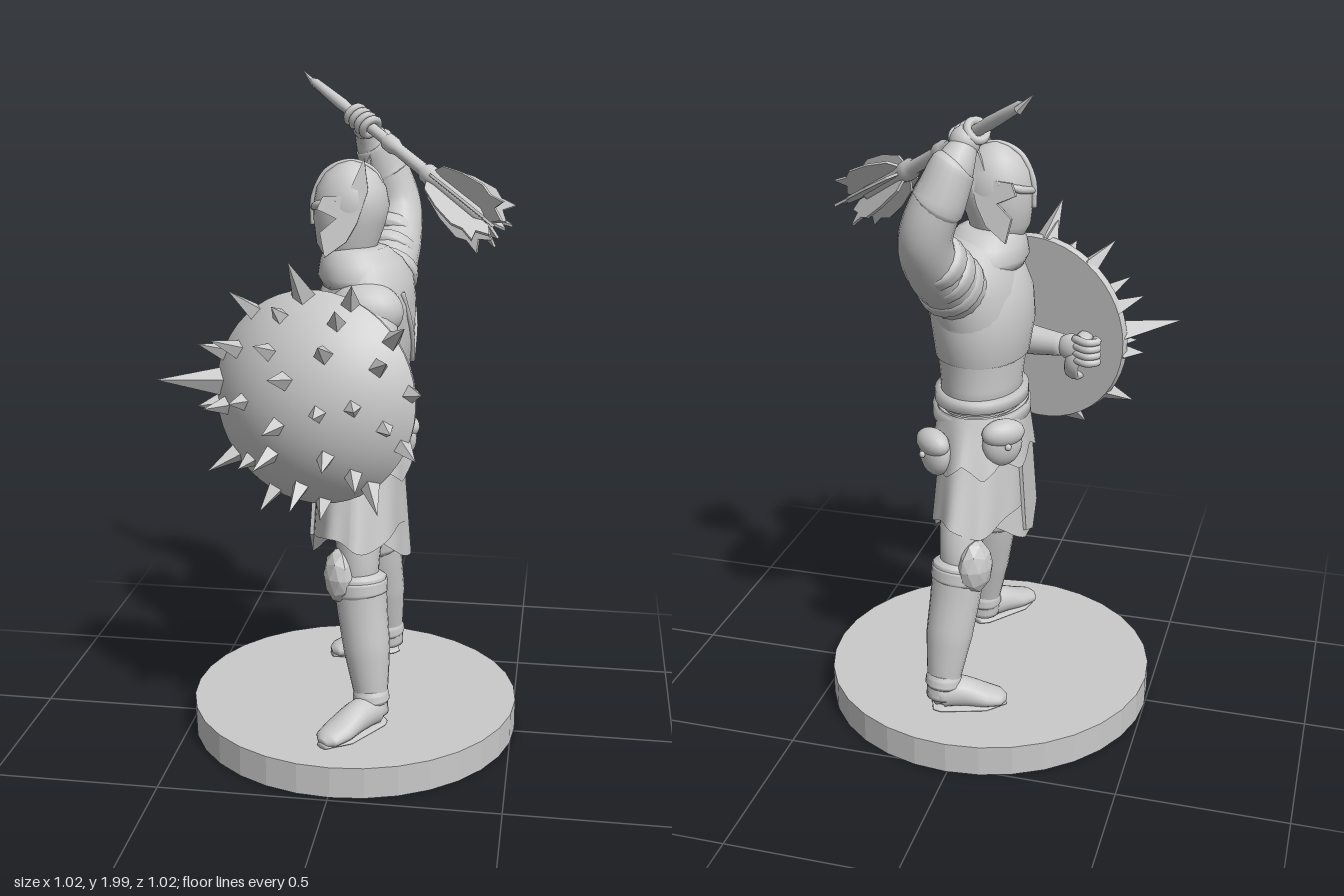
import * as THREE from 'three';

const V = (a) => new THREE.Vector3(...a);

export function createModel() {
  const model = new THREE.Group();
  const grey = new THREE.MeshStandardMaterial({ color: 0xcacaca, side: THREE.DoubleSide });
  grey.name = 'stone grey';

  const add = (name, geometry, pos = [0, 0, 0], parent = model) => {
    const m = new THREE.Mesh(geometry, grey);
    m.name = name;
    m.position.set(...pos);
    parent.add(m);
    return m;
  };
  const flat = (g) => { const f = g.index ? g.toNonIndexed() : g; f.computeVertexNormals(); return f; };

  // Closed skin over rings { c: centre, n, b: scaled axes }
  const skin = (rings, seg = 24) => {
    const p = [], idx = [];
    for (const { c, n, b } of rings) for (let j = 0; j < seg; j++) {
      const a = (j / seg) * Math.PI * 2;
      const v = c.clone().addScaledVector(n, Math.cos(a)).addScaledVector(b, Math.sin(a));
      p.push(v.x, v.y, v.z);
    }
    const last = (rings.length - 1) * seg, c0 = rings.length * seg;
    p.push(...rings[0].c.toArray(), ...rings[rings.length - 1].c.toArray());
    for (let j = 0; j < seg; j++) {
      const k = (j + 1) % seg;
      for (let i = 0; i < last; i += seg) idx.push(i + j, i + k, i + seg + j, i + k, i + seg + k, i + seg + j);
      idx.push(c0, k, j, c0 + 1, last + j, last + k);
    }
    const g = new THREE.BufferGeometry();
    g.setAttribute('position', new THREE.Float32BufferAttribute(p, 3));
    g.setIndex(idx);
    g.computeVertexNormals();
    return g;
  };
  // Upright body part from rows [x, y, z, radiusX, radiusZ]
  const body = (name, rows) => add(name, skin(rows.map(([x, y, z, rx, rz]) =>
    ({ c: V([x, y, z]), n: V([0, 0, rz]), b: V([rx, 0, 0]) })), 36));
  // Limb along a curve through rows [x, y, z, width, height]
  const limb = (name, rows, up = [1, 0, 0], steps = 6) => {
    const curve = new THREE.CatmullRomCurve3(rows.map((r) => V(r.slice(0, 3))));
    const rings = [], total = (rows.length - 1) * steps;
    for (let i = 0; i <= total; i++) {
      const k = Math.min(Math.floor(i / steps), rows.length - 2), f = i / steps - k;
      const size = (q) => THREE.MathUtils.lerp(rows[k][q] ?? rows[k][3], rows[k + 1][q] ?? rows[k + 1][3], f);
      const t = curve.getTangent(i / total), n = V(up).cross(t).normalize();
      const b = t.clone().cross(n).multiplyScalar(size(4));
      rings.push({ c: curve.getPoint(i / total), n: n.multiplyScalar(size(3)), b });
    }
    return add(name, skin(rings, 18));
  };
  const ball = (name, pos, scale, parent = model) => {
    const m = add(name, new THREE.SphereGeometry(1, 20, 14), pos, parent);
    m.scale.set(...scale);
    return m;
  };
  // Thin plate cut from an outline
  const plate = (points, depth) => new THREE.ExtrudeGeometry(
    new THREE.Shape(points.map((q) => new THREE.Vector2(...q))), { depth, bevelEnabled: false });

  // Round base
  add('base', flat(new THREE.CylinderGeometry(0.505, 0.505, 0.095, 32)), [0.005, 0.0475, -0.021]);

  // Legs: ankle, knee, heel, toe for each side
  const legs = [
    { side: 'left', s: 1, ankle: [0.085, 0.19], knee: [0.04, 0.145], hip: 0.08, heel: [0.11, 0.17], toe: [-0.035, 0.375] },
    { side: 'right', s: -1, ankle: [0.07, -0.325], knee: [0.035, -0.25], hip: -0.12, heel: [0.1, -0.345], toe: [-0.11, -0.265] },
  ];
  for (const { side, s, ankle: a, knee: k, hip, heel: h, toe: t } of legs) {
    const mix = (f, p = a, q = k) => [p[0] + (q[0] - p[0]) * f, p[1] + (q[1] - p[1]) * f];
    const at = (f, y, ...r) => { const m = mix(f); return [m[0], y, m[1], ...r]; };
    limb(side + 'Thigh', [at(1, 0.5, 0.055), at(1, 0.6, 0.062), [0.03, 0.85, hip, 0.09]]);
    limb(side + 'Boot', [at(-0.05, 0.13, 0.05), at(0.05, 0.2, 0.048, 0.052), at(0.35, 0.33, 0.063, 0.07),
      at(0.7, 0.45, 0.068, 0.076), at(0.92, 0.55, 0.073, 0.08), at(0.95, 0.565, 0.06)]);
    limb(side + 'BootCuff', [at(0.82, 0.49, 0.068), at(0.86, 0.505, 0.077, 0.083), at(0.93, 0.54, 0.078, 0.084), at(0.95, 0.55, 0.06)]);
    limb(side + 'AnkleBand', [at(-0.02, 0.165, 0.05), at(0, 0.175, 0.056), at(0.03, 0.195, 0.054), at(0.05, 0.21, 0.048)]);
    const f = (q, y, ...r) => { const m = mix(q, h, t); return [m[0], y, m[1], ...r]; };
    limb(side + 'Foot', [f(0, 0.13, 0.025, 0.03), f(0.12, 0.145, 0.045, 0.05), f(0.4, 0.145, 0.047, 0.047),
      f(0.72, 0.126, 0.052, 0.032), f(0.92, 0.117, 0.042, 0.022), f(1, 0.112, 0.016, 0.012)], [0, 1, 0]);
    limb(side + 'Sole', [f(0, 0.103, 0.03, 0.009), f(0.1, 0.103, 0.045, 0.009), f(0.7, 0.103, 0.055, 0.009), f(1, 0.103, 0.02, 0.009)], [0, 1, 0]);
    // Pointed knee guard facing forward
    const cap = add(side + 'KneeGuard', flat(new THREE.OctahedronGeometry(1, 2)), [k[0] - 0.055, 0.56, k[1] + s * 0.03]);
    cap.scale.set(0.045, 0.085, 0.06);
    cap.rotation.y = s * 0.5;
  }

  // Skirt layers with shaped hems
  const skirt = (name, yTop, yBot, [tx, tz], [bx, bz], hem) => {
    const g = new THREE.CylinderGeometry(1, 1, 1, 72, 8, true), p = g.attributes.position;
    for (let i = 0; i < p.count; i++) {
      const x = p.getX(i), z = p.getZ(i), f = 0.5 - p.getY(i), a = Math.atan2(z, x);
      const w = 1 + 0.03 * f * Math.cos(a * 9);
      p.setXYZ(i, 0.025 + x * w * (tx + (bx - tx) * f), yTop + (yBot + hem(a) - yTop) * f,
        -0.03 + z * w * (tz + (bz - tz) * f));
    }
    g.computeVertexNormals();
    add(name, g);
  };
  skirt('lowerSkirt', 1.0, 0.67, [0.12, 0.17], [0.138, 0.275], (a) => 0.02 * Math.sin(a * 4));
  skirt('underTunic', 0.9, 0.565, [0.125, 0.17], [0.148, 0.2], (a) => 0.13 * Math.sin(a) ** 2);
  skirt('hipArmour', 1.0, 0.82, [0.133, 0.18], [0.15, 0.235], (a) => 0.05 * Math.abs(((a * 8) / Math.PI % 2 + 2) % 2 - 1));
  // Tabard strip hanging at the front
  const tabard = add('frontTabard', plate([[-0.065, 0.3], [-0.085, -0.03], [-0.02, -0.1], [0.06, -0.07], [0.065, 0.3]], 0.012), [-0.122, 0.67, -0.03]);
  tabard.rotation.set(0, Math.PI / 2, -0.06, 'ZYX');

  // Torso, breastplate, belts and collar
  body('torso', [[0.03, 0.95, -0.02, 0.12, 0.17], [0.03, 1.07, -0.025, 0.12, 0.16], [0.03, 1.16, -0.015, 0.13, 0.175],
    [0.035, 1.27, -0.005, 0.142, 0.2], [0.045, 1.36, -0.01, 0.14, 0.215], [0.05, 1.43, -0.015, 0.125, 0.19],
    [0.045, 1.48, 0, 0.1, 0.145], [0.03, 1.52, 0.02, 0.07, 0.08]]);
  body('breastplate', [[0.03, 1.14, -0.015, 0.125, 0.165], [0.03, 1.15, -0.015, 0.137, 0.178], [0.03, 1.25, -0.01, 0.152, 0.195],
    [0.035, 1.34, -0.005, 0.15, 0.185], [0.045, 1.41, 0, 0.13, 0.165], [0.045, 1.42, 0, 0.11, 0.14]]);
  [[0.975, 0.145, 0.185, 0.024], [1.025, 0.138, 0.178, 0.022]].forEach(([y, rx, rz, h], i) => body('belt' + (i + 1), [
    [0.03, y - h, -0.025, rx - 0.02, rz - 0.02], [0.03, y - h * 0.7, -0.025, rx, rz],
    [0.03, y + h * 0.7, -0.025, rx, rz], [0.03, y + h, -0.025, rx - 0.02, rz - 0.02]]));
  body('collar', [[0.035, 1.41, 0.005, 0.12, 0.16], [0.03, 1.44, 0.005, 0.13, 0.165], [0.025, 1.48, 0.01, 0.118, 0.14],
    [0.015, 1.515, 0.015, 0.095, 0.105], [0.01, 1.525, 0.02, 0.07, 0.08]]);
  // V-shaped seam on the back
  for (const s of [1, -1]) limb('backSeam', [[0.177, 1.18, -0.01, 0.008], [0.178, 1.29, -0.005 + s * 0.055, 0.008],
    [0.158, 1.4, s * 0.1, 0.008]]);

  // Pouches on the belt
  for (const [x, y, z, turn] of [[0.12, 0.895, -0.215, 2.45], [-0.075, 0.935, -0.185, 3.8]]) {
    const pouch = new THREE.Group();
    pouch.name = 'pouch';
    pouch.position.set(x, y, z);
    pouch.rotation.y = turn;
    model.add(pouch);
    ball('pouchBag', [0, -0.01, 0], [0.062, 0.07, 0.04], pouch);
    ball('pouchFlap', [0, 0.025, 0.008], [0.066, 0.042, 0.04], pouch);
    ball('pouchButton', [0, -0.005, 0.046], [0.01, 0.01, 0.008], pouch);
  }

  // Helmet
  body('helmet', [[-0.005, 1.48, 0.022, 0.07, 0.07], [-0.012, 1.53, 0.022, 0.09, 0.085], [-0.005, 1.59, 0.022, 0.104, 0.096],
    [0, 1.64, 0.022, 0.11, 0.1], [0, 1.69, 0.022, 0.1, 0.09], [0, 1.73, 0.022, 0.075, 0.066], [0, 1.755, 0.022, 0.04, 0.035], [0, 1.765, 0.022, 0.008, 0.008]]);
  limb('helmetCrest', [[-0.113, 1.58, 0.022, 0.008], [-0.109, 1.66, 0.022, 0.01], [-0.07, 1.735, 0.022, 0.009],
    [0, 1.763, 0.022, 0.007], [0.07, 1.735, 0.022, 0.006], [0.106, 1.65, 0.022, 0.004]], [0, 0, 1]);
  for (const s of [1, -1]) {
    const wing = [[0.045, 0.18], [0.058, 0.09], [0.03, 0], [0.0, -0.055], [-0.06, -0.1], [-0.075, -0.03], [-0.03, 0.01], [-0.085, 0.035], [-0.07, 0.07], [0.0, 0.075]];
    const m = add('helmetWing', plate(wing, 0.014), [0, 1.6, 0.022 + s * 0.097 - 0.007]);
    m.rotation.set(-s * 0.18, s * 0.08, 0);
    limb('browRidge', [[-0.11, 1.63, 0.022, 0.01], [-0.088, 1.645, 0.022 + s * 0.062, 0.012], [-0.03, 1.665, 0.022 + s * 0.09, 0.008]], [0, 1, 0]);
  }

  // Raised right arm with layered shoulder bands
  limb('rightArm', [[0.06, 1.36, -0.12, 0.1], [0.075, 1.425, -0.23, 0.09], [0.09, 1.5, -0.325, 0.078], [0.085, 1.59, -0.38, 0.074],
    [0.045, 1.7, -0.38, 0.07], [0.01, 1.78, -0.355, 0.055], [-0.01, 1.83, -0.325, 0.036]]);
  for (let i = 0; i < 3; i++) {
    const y = 1.39 + i * 0.048, z = -0.185 - i * 0.056, r = 0.1 - i * 0.008;
    limb('shoulderBand', [[0.07, y, z, r - 0.015], [0.072, y + 0.01, z - 0.012, r], [0.076, y + 0.03, z - 0.036, r - 0.004], [0.078, y + 0.038, z - 0.045, r - 0.02]], [1, 0, 0], 3);
  }
  limb('rightBracer', [[0.058, 1.67, -0.383, 0.06], [0.05, 1.68, -0.383, 0.075], [0.012, 1.78, -0.36, 0.062], [0.005, 1.79, -0.355, 0.045]]);

  // Left arm bent behind the shield
  limb('leftArm', [[0.055, 1.38, 0.1, 0.085], [0.065, 1.33, 0.15, 0.085], [0.09, 1.24, 0.205, 0.078], [0.11, 1.16, 0.24, 0.068],
    [0.06, 1.12, 0.235, 0.06], [-0.06, 1.11, 0.205, 0.047], [-0.17, 1.11, 0.18, 0.034]], [0.3, 0, 1]);
  ball('leftShoulderGuard', [0.06, 1.355, 0.15], [0.108, 0.085, 0.08]);
  ball('leftElbow', [0.12, 1.16, 0.25], [0.055, 0.06, 0.055]);
  ball('leftHand', [-0.2, 1.11, 0.17], [0.045, 0.042, 0.026]);
  for (let i = 0; i < 4; i++) {
    const y = 1.075 + i * 0.022;
    limb('leftFinger', [[-0.21, y, 0.16, 0.012], [-0.255, y, 0.13, 0.012], [-0.285, y, 0.15, 0.011], [-0.27, y, 0.18, 0.008]], [0, 1, 0], 4);
  }

  // Spiked round shield, local +y is its outer face
  const shield = new THREE.Group();
  shield.name = 'shield';
  shield.position.set(-0.07, 1.13, 0.277);
  shield.quaternion.setFromUnitVectors(V([0, 1, 0]), V([-0.24, 0.06, 0.97]).normalize());
  model.add(shield);
  const R = 0.385, drop = 0.235;
  const dome = [];
  for (let i = 0; i <= 14; i++) {
    const a = 0.915 * (1 - i / 14);
    dome.push(new THREE.Vector2(R * Math.sin(a), R * Math.cos(a) - drop));
  }
  add('shieldDome', new THREE.LatheGeometry(dome, 48), [0, 0, 0], shield);
  add('shieldRim', new THREE.CylinderGeometry(0.305, 0.3, 0.022, 48, 1, true), [0, -0.011, 0], shield);
  add('shieldBack', new THREE.CylinderGeometry(0.3, 0.3, 0.006, 48), [0, -0.018, 0], shield);
  for (const x of [-0.17, 0.07]) {
    const strap = add('shieldStrap', new THREE.TorusGeometry(0.07, 0.012, 8, 20, Math.PI), [x, -0.02, 0.02], shield);
    strap.rotation.set(Math.PI, Math.PI / 2, 0);
    strap.scale.z = 2;
  }
  const spike = (rho, phi, len, r) => {
    const d = V([rho / R * Math.cos(phi), Math.sqrt(1 - (rho / R) ** 2), rho / R * Math.sin(phi)]);
    const m = add('spike', flat(new THREE.ConeGeometry(r, len, 4)), [0, 0, 0], shield);
    m.position.copy(d).multiplyScalar(R + len / 2 - 0.014).y -= drop;
    m.quaternion.setFromUnitVectors(V([0, 1, 0]), d);
  };
  for (const [count, rho, len, turn] of [[3, 0.075, 0.09, 0.4], [6, 0.165, 0.085, 0.2], [9, 0.245, 0.085, 0.45], [12, 0.296, 0.095, 0.1]])
    for (let i = 0; i < count; i++) spike(rho, turn + (i / count) * Math.PI * 2, len + 0.02 * (i % 3 - 1), 0.031);
  spike(0.285, Math.PI + 0.33, 0.2, 0.042);
  spike(0.29, -Math.PI / 2 + 0.15, 0.15, 0.036);

  // Flanged mace, local +y runs from pommel to head
  const mace = new THREE.Group();
  mace.name = 'mace';
  const start = V([-0.2, 1.97, -0.425]), axis = V([0.62, -0.4, 0.425]), len = axis.length();
  mace.position.copy(start);
  mace.quaternion.setFromUnitVectors(V([0, 1, 0]), axis.normalize());
  model.add(mace);
  const shaft = [[0, 0], [0.014, 0.03], [0.017, 0.1], [0.019, 0.16], [0.017, 0.18], [0.017, 0.36], [0.026, 0.37], [0.026, 0.4], [0.019, 0.42],
    [0.02, 0.53], [0.03, 0.545], [0.03, 0.57], [0.024, 0.6], [0.026, len - 0.08], [0, len - 0.04]];
  add('shaft', new THREE.LatheGeometry(shaft.map((q) => new THREE.Vector2(...q)), 14), [0, 0, 0], mace);
  const hook = add('pommelHook', flat(new THREE.ConeGeometry(0.014, 0.07, 6)), [0, 0, 0], mace);
  hook.rotation.z = Math.PI - 0.35;
  const flange = plate([[0.01, 0.56], [0.055, 0.595], [0.08, 0.67], [0.092, 0.75], [0.08, 0.785], [0.09, 0.835], [0.055, 0.815], [0.035, 0.85], [0.01, 0.82]], 0.008);
  flange.translate(0, 0, -0.004);
  for (let i = 0; i < 7; i++) add('flange', flange, [0, 0, 0], mace).rotation.y = (i / 7) * Math.PI * 2;
  // Gripping right hand
  for (let i = 0; i < 4; i++) {
    const finger = add('rightFinger', new THREE.TorusGeometry(0.028, 0.012, 8, 18), [0, 0.22 + i * 0.024, 0], mace);
    finger.rotation.x = Math.PI / 2 + 0.15;
  }
  ball('rightPalm', [-0.008, 1.835, -0.32], [0.042, 0.045, 0.042]);

  return model;
}
